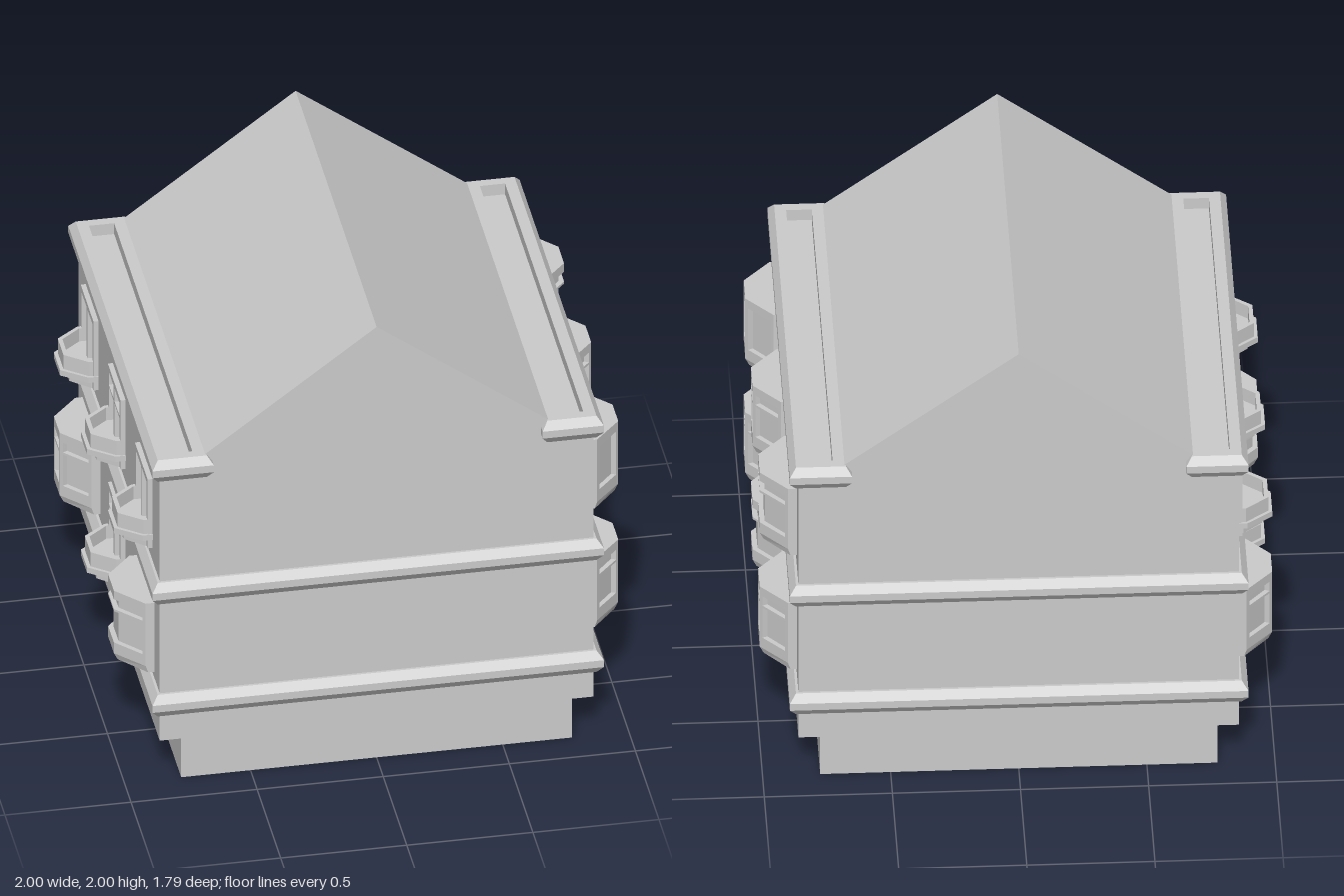
import * as THREE from 'three';

const material = new THREE.MeshStandardMaterial({ color: 0xcccccc, flatShading: true });

function add(parent, name, geometry) {
  const mesh = new THREE.Mesh(geometry, material);
  mesh.name = name;
  parent.add(mesh);
  return mesh;
}

// Skin a stack of convex outlines; each section is [y, [[x, z], ...]]
function loft(sections) {
  const pos = [];
  const put = (s, i) => {
    const p = s[1][i % s[1].length];
    pos.push(p[0], s[0], p[1]);
  };
  const n = sections[0][1].length;
  for (let k = 0; k < sections.length - 1; k++) {
    const a = sections[k], b = sections[k + 1];
    for (let i = 0; i < n; i++) {
      put(a, i); put(b, i); put(a, i + 1);
      put(a, i + 1); put(b, i); put(b, i + 1);
    }
  }
  const last = sections[sections.length - 1];
  for (let i = 1; i < n - 1; i++) {
    put(sections[0], 0); put(sections[0], i); put(sections[0], i + 1);
    put(last, 0); put(last, i + 1); put(last, i);
  }
  const g = new THREE.BufferGeometry();
  g.setAttribute('position', new THREE.Float32BufferAttribute(pos, 3));
  g.computeVertexNormals();
  return g;
}

const prism = (y0, y1, outline) => loft([[y0, outline], [y1, outline]]);
const rect = (x0, x1, z) => [[x0, -z], [x1, -z], [x1, z], [x0, z]];
// Half hexagon standing out from the wall at x = 0.86
const bayOutline = (half, front, x1, x2) =>
  [[0.86, -half], [x1, -half], [x2, -front], [x2, front], [x1, half], [0.86, half]];

// Bay window; style is 'plain', 'transom' or 'open' (no posts at the corners)
function bayWindow(style) {
  const bay = new THREE.Group();
  bay.name = 'bayWindow';
  const outer = bayOutline(0.175, 0.06, 0.895, 1.0);
  const inner = bayOutline(0.16, 0.052, 0.885, 0.98);
  add(bay, 'baySill', loft([[0, bayOutline(0.175, 0.06, 0.885, 0.985)], [0.03, outer], [0.08, outer]]));
  add(bay, 'bayHead', prism(0.28, 0.32, outer));
  add(bay, 'bayGlass', prism(0.08, 0.28, inner));
  add(bay, 'bayShoulder', prism(0.03, 0.32, rect(0.86, 0.895, 0.175)));
  if (style !== 'plain') add(bay, 'bayTransom', prism(0.225, 0.235, outer));
  // Posts at both ends of each facet
  const along = (line, i, t) => [0, 1].map((c) => line[i][c] + (line[i + 1][c] - line[i][c]) * t);
  for (let i = 1; i <= 3; i++) {
    for (const [f0, f1] of [[0, 0.1], [0.9, 1]]) {
      const atWall = (i === 1 && f0 === 0) || (i === 3 && f1 === 1);
      if (style === 'open' && !atWall) continue;
      add(bay, 'bayPost', prism(0.08, 0.28,
        [along(outer, i, f0), along(outer, i, f1), along(inner, i, f1), along(inner, i, f0)]));
    }
  }
  return bay;
}

// Glazed door in a frame with a small half-hexagon balcony
function balcony(transom) {
  const group = new THREE.Group();
  group.name = 'balcony';
  const box = (target, x0, y0, x1, y1) =>
    target.moveTo(x0, y0).lineTo(x1, y0).lineTo(x1, y1).lineTo(x0, y1).closePath();
  const frame = box(new THREE.Shape(), -0.135, 0, 0.135, 0.32);
  const panes = transom ? [[0.05, 0.225], [0.235, 0.295]] : [[0.05, 0.295]];
  for (const [y0, y1] of panes) {
    for (const x0 of [-0.115, 0.01]) frame.holes.push(box(new THREE.Path(), x0, y0, x0 + 0.105, y1));
  }
  const door = new THREE.ExtrudeGeometry(frame, { depth: 0.02, bevelEnabled: false });
  add(group, 'balconyDoorFrame', door.rotateY(Math.PI / 2).translate(0.86, 0, 0));

  const base = bayOutline(0.115, 0.05, 0.885, 0.96);
  const slab = bayOutline(0.14, 0.065, 0.9, 1.0);
  const wall = bayOutline(0.13, 0.06, 0.895, 0.985);
  const well = bayOutline(0.115, 0.052, 0.89, 0.968);
  add(group, 'balconyParapet', loft([
    [0, base], [0.04, base], [0.04, slab], [0.065, slab],
    [0.065, wall], [0.13, wall], [0.13, well], [0.07, well],
  ]));
  return group;
}

export function createModel() {
  const model = new THREE.Group();
  model.name = 'house';

  // Walls, recessed plinth and gabled roof in one extruded outline
  const half = [[0.775, 0], [0.775, 0.18], [0.86, 0.18], [0.86, 1.4], [0.68, 1.4], [0.68, 1.49]];
  const outline = [...half, [0, 2], ...half.map(([x, y]) => [-x, y]).reverse()];
  const shape = new THREE.Shape(outline.map(([x, y]) => new THREE.Vector2(x, y)));
  const body = new THREE.ExtrudeGeometry(shape, { depth: 1.72, bevelEnabled: false });
  add(model, 'wallsAndRoof', body.translate(0, 0, -0.86));

  // Chamfered bands between the storeys
  for (const y of [0.3, 0.82]) {
    const inset = rect(-0.87, 0.87, 0.87), full = rect(-0.895, 0.895, 0.895);
    add(model, 'storeyBand', loft([[y, inset], [y + 0.035, full], [y + 0.067, full], [y + 0.1, inset]]));
  }

  // Windows of each side: [y, z, builder]
  const rightWindows = [
    [0.98, 0.575, () => bayWindow('plain')],
    [0.98, 0, () => bayWindow('transom')],
    [0.98, -0.575, () => bayWindow('open')],
    [0.43, 0.575, () => bayWindow('transom')],
    [0.43, 0, () => bayWindow('open')],
    [0.43, -0.575, () => bayWindow('transom')],
  ];
  const leftWindows = [
    [0.98, 0.575, () => balcony(false)],
    [0.98, 0, () => balcony(true)],
    [0.98, -0.575, () => balcony(false)],
    [0.43, 0.575, () => bayWindow('transom')],
    [0.43, 0, () => balcony(true)],
    [0.43, -0.575, () => bayWindow('open')],
  ];

  [rightWindows, leftWindows].forEach((windows, k) => {
    const side = new THREE.Group();
    side.name = k ? 'sideWithBalconies' : 'sideWithBays';
    side.rotation.y = k * Math.PI;
    model.add(side);

    // Eaves cornice with a sunken gutter
    const inset = rect(0.675, 0.87, 0.87), full = rect(0.652, 0.895, 0.895);
    const gutter = rect(0.725, 0.825, 0.83);
    add(side, 'eavesGutter', loft([
      [1.39, inset], [1.425, full], [1.457, full], [1.49, inset], [1.49, gutter], [1.44, gutter],
    ]));

    // Low vents in the plinth
    for (const z of [-0.285, 0.285]) {
      add(side, 'plinthVent', new THREE.BoxGeometry(0.03, 0.03, 0.2).translate(0.775, 0.025, z));
    }

    for (const [y, z, build] of windows) {
      const window = build();
      window.position.set(0, y, z);
      side.add(window);
    }
  });

  return model;
}
